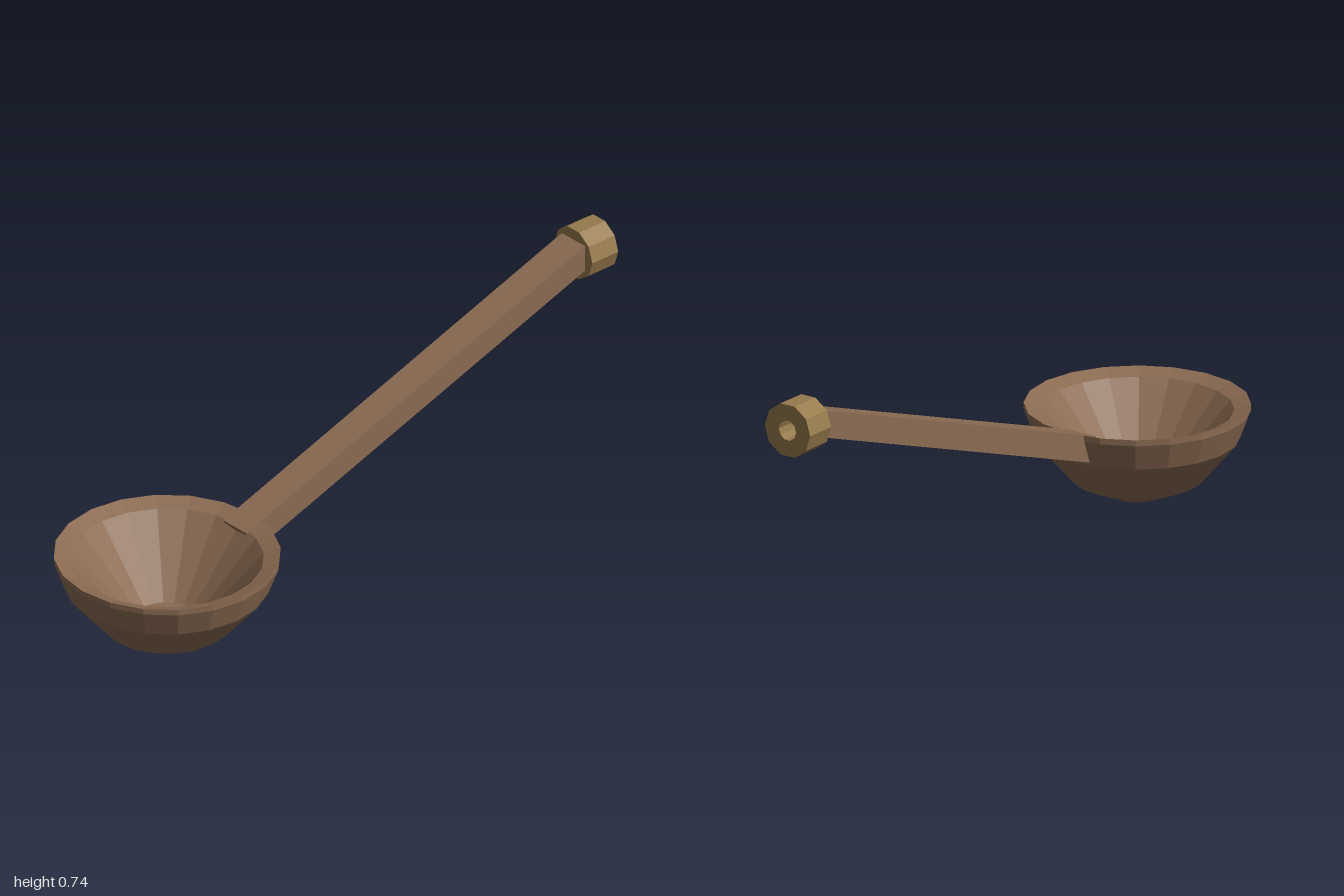
import * as THREE from 'three';

const wood = new THREE.MeshStandardMaterial({ color: 0x8b6b52, flatShading: true });
wood.name = 'brown wood';
const cap = new THREE.MeshStandardMaterial({ color: 0x967a4c, flatShading: true });
cap.name = 'tan wood';

function add(group, name, geometry, material) {
  const mesh = new THREE.Mesh(geometry, material);
  mesh.name = name;
  group.add(mesh);
  return mesh;
}

// Regular polygon outline with a corner on +x
function polygon(PathType, radius, sides) {
  const points = [];
  for (let i = 0; i < sides; i++) {
    const a = (i / sides) * Math.PI * 2;
    points.push(new THREE.Vector2(radius * Math.cos(a), radius * Math.sin(a)));
  }
  return new PathType(points);
}

export function createModel() {
  const ladle = new THREE.Group();
  ladle.name = 'ladle';

  // Bowl: outer wall up to the rim, then the inner wall down to the floor
  const profile = [
    [0, 0], [0.055, 0], [0.19, 0.058], [0.298, 0.185], [0.328, 0.267],
    [0.328, 0.285], [0.28, 0.267], [0.1, 0.06], [0, 0.06],
  ].map(([r, y]) => new THREE.Vector2(r, y));
  const bowl = add(ladle, 'bowl', new THREE.LatheGeometry(profile, 20), wood);
  bowl.position.z = 0.672;

  // Handle: slanted square bar from the rim up to the end ring
  const front = new THREE.Vector3(0, 0.23, 0.397);
  const back = new THREE.Vector3(0, 0.675, -0.915);
  const handle = add(ladle, 'handle', new THREE.BoxGeometry(0.1, 0.078, front.distanceTo(back)), wood);
  handle.position.copy(front).add(back).multiplyScalar(0.5);
  handle.rotation.x = Math.atan2(back.y - front.y, front.z - back.z);

  // Ring on the end of the handle
  const outline = polygon(THREE.Shape, 0.082, 10);
  outline.holes.push(polygon(THREE.Path, 0.031, 10));
  const ring = add(ladle, 'endRing',
    new THREE.ExtrudeGeometry(outline, { depth: 0.1, bevelEnabled: false }), cap);
  ring.position.set(0, 0.667, -1);

  return ladle;
}
